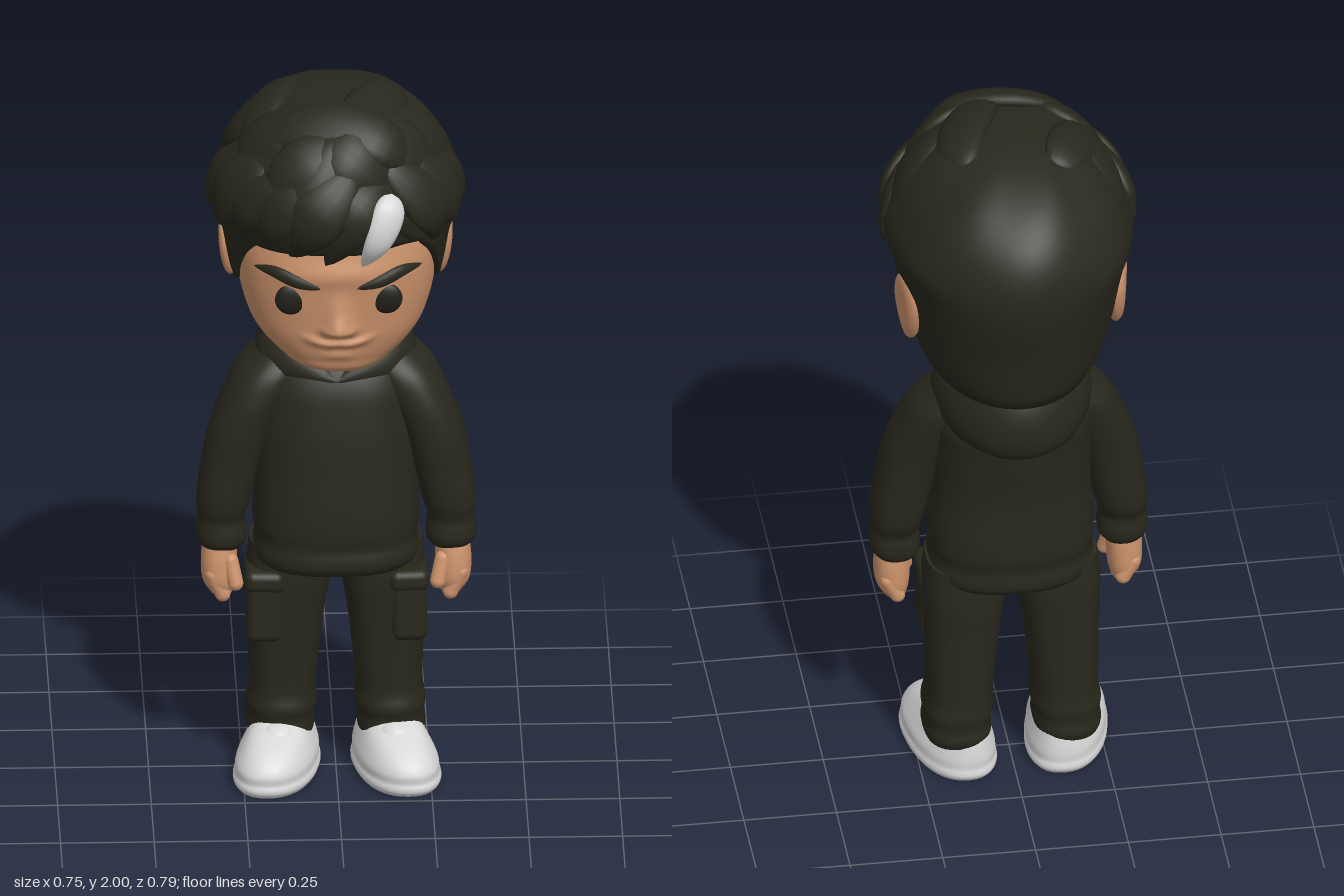
import * as THREE from 'three';
import { RoundedBoxGeometry } from 'three/addons/geometries/RoundedBoxGeometry.js';

const V = (x, y, z) => new THREE.Vector3(x, y, z);
const mat = (name, color) => Object.assign(new THREE.MeshStandardMaterial({ color }), { name });
const hump = (d, w) => Math.exp(-(d / w) * (d / w));

// smooth lookup: each row is [key, ...values]
function track(rows, Type = THREE.CubicInterpolant) {
  const stride = rows[0].length - 1;
  const f = new Type(new Float32Array(rows.map(r => r[0])), new Float32Array(rows.flatMap(r => r.slice(1))), stride);
  return k => Array.from(f.evaluate(THREE.MathUtils.clamp(k, rows[0][0], rows[rows.length - 1][0])));
}

// smooth skin over a grid of points, wrapped around i
function surface(nu, nv, point) {
  const pos = [], idx = [];
  for (let j = 0; j <= nv; j++) for (let i = 0; i < nu; i++) pos.push(...point(i / nu, j).toArray());
  for (let j = 0; j < nv; j++) for (let i = 0; i < nu; i++) {
    const a = j * nu + i, b = j * nu + (i + 1) % nu;
    idx.push(a, b, b + nu, a, b + nu, a + nu);
  }
  const g = new THREE.BufferGeometry();
  g.setAttribute('position', new THREE.Float32BufferAttribute(pos, 3));
  g.setIndex(idx);
  g.computeVertexNormals();
  return g;
}

const bend = (s, n) => Math.sign(s) * Math.pow(Math.abs(s), 2 / n);

// upright body from rows [y, centre x, half width, front z, back z]
function loft(rows, n = 2.3, seg = 44, per = 5) {
  const f = track(rows), m = rows.length * per, y0 = rows[0][0], y1 = rows[rows.length - 1][0];
  return surface(seg, m + 4, (u, j) => {
    const y = y0 + (y1 - y0) * THREE.MathUtils.clamp((j - 2) / m, 0, 1);
    const k = j === 0 || j === m + 4 ? 0 : 1, a = u * Math.PI * 2;
    const [cx, rx, zf, zb] = f(y);
    return V(cx + k * rx * bend(Math.sin(a), n), y, (zf + zb) / 2 + k * (zf - zb) / 2 * bend(Math.cos(a), n));
  });
}

// tapered, flattened strand along points, facing away from centre
function strand(points, R, flat, centre, p = 0.75) {
  const c = new THREE.CatmullRomCurve3(points), m = 18;
  return surface(14, m, (u, j) => {
    const t = j / m, o = c.getPoint(t), d = c.getTangent(t);
    const out = o.clone().sub(centre), b = out.clone().cross(d).normalize(), n = d.clone().cross(b);
    const r = R * Math.pow(Math.max(0, Math.sin(Math.PI * Math.pow(t, p))), 0.7), a = u * Math.PI * 2;
    return o.addScaledVector(b, r * Math.cos(a)).addScaledVector(n, r * flat * Math.sin(a));
  });
}

// move every vertex by a rule
function reshape(g, rule) {
  const p = g.attributes.position;
  for (let i = 0; i < p.count; i++) p.setXYZ(i, ...rule(p.getX(i), p.getY(i), p.getZ(i)));
  g.computeVertexNormals();
  return g;
}

function mirror(g) {
  const m = g.clone().scale(-1, 1, 1);
  const ix = m.index.array;
  for (let i = 0; i < ix.length; i += 3) [ix[i], ix[i + 1]] = [ix[i + 1], ix[i]];
  return m;
}

const ball = (x, y, z, rx, ry, rz) => new THREE.SphereGeometry(1, 28, 20).scale(rx, ry, rz).translate(x, y, z);

function rod(a, b, r) {
  const g = new THREE.CapsuleGeometry(r, a.distanceTo(b), 6, 14);
  g.applyQuaternion(new THREE.Quaternion().setFromUnitVectors(V(0, 1, 0), b.clone().sub(a).normalize()));
  return g.translate(...a.clone().add(b).multiplyScalar(0.5).toArray());
}

const headRows = [
  [1.23, 0, 0.07, 0.195, 0.0], [1.245, 0, 0.115, 0.222, -0.05], [1.28, 0, 0.165, 0.238, -0.1], [1.34, 0, 0.22, 0.255, -0.16],
  [1.41, 0, 0.25, 0.266, -0.2], [1.5, 0, 0.266, 0.276, -0.22], [1.6, 0, 0.268, 0.27, -0.22], [1.7, 0, 0.25, 0.24, -0.2]];
const headAt = track(headRows);
// nose, nostrils, brow ridge and lips
function faceBump(x, y) {
  const ax = Math.abs(x), mouth = Math.exp(-Math.pow(x / 0.085, 4));
  return 0.046 * hump(x, 0.03) * hump(y - 1.384, y > 1.384 ? 0.04 : 0.02) + 0.016 * hump(x, 0.026) * hump(y - 1.44, 0.045)
    + 0.015 * hump(ax - 0.03, 0.016) * hump(y - 1.378, 0.016) + 0.012 * hump(x, 0.15) * hump(y - 1.54, 0.035)
    + 0.015 * mouth * hump(y - 1.335 - 2.2 * x * x - 0.004 * hump(x, 0.012), 0.013) + 0.007 * hump(x, 0.045) * hump(y - 1.298, 0.016);
}
function faceZ(x, y) {
  const [, rx, zf, zb] = headAt(y);
  return (zf + zb) / 2 + (zf - zb) / 2 * Math.pow(1 - Math.pow(Math.abs(x) / rx, 2.5), 0.4) + faceBump(x, y);
}

// hair mass: [sqrt of drop from the crown, half width, front, back]
const hairAt = track([[0, 0, 0, 0], [0.173, 0.165, 0.225, 0.17], [0.316, 0.25, 0.315, 0.295], [0.424, 0.302, 0.362, 0.362],
  [0.53, 0.336, 0.372, 0.392], [0.616, 0.308, 0.335, 0.385], [0.714, 0.283, 0.285, 0.35], [0.806, 0.24, 0.25, 0.32], [0.84, 0.2, 0.22, 0.3]]);
const hemAt = track([[0, 1.63], [0.75, 1.63], [1.0, 1.57], [1.28, 1.46], [1.55, 1.48], [1.75, 1.42], [1.95, 1.33], [2.3, 1.3], [3.15, 1.3]],
  THREE.LinearInterpolant);
const TOP = 1.98, HEAD = V(0, 1.65, 0);
function hairPoint(a, y, lift = 0) {
  const [rx, rf, rb] = hairAt(Math.sqrt(Math.max(0, TOP - y)));
  const front = Math.cos(a) > 0, n = front ? 2.15 : 2;
  const p = V(rx * bend(Math.sin(a), n), y, (front ? rf : rb) * bend(Math.cos(a), n));
  // parting on the left of the fringe
  p.z -= 0.05 * hump(a - 0.5, 0.26) * THREE.MathUtils.smoothstep(1.92 - y, 0, 0.12) * THREE.MathUtils.smoothstep(y, 1.58, 1.66);
  return p.addScaledVector(p.clone().sub(HEAD).normalize(), lift);
}
const lock = (path, R, lift = 0, flat = 0.5) => strand(path.map(([a, y]) => hairPoint(a, y, lift)), R, flat, HEAD);

export function createModel() {
  const dark = mat('charcoal', 0x28281d), skin = mat('skin', 0xcb926b);
  const white = mat('white', 0xd8d8d8), eye = mat('eyeBlack', 0x201f18);
  const model = new THREE.Group();
  const add = (name, g, m) => {
    const mesh = new THREE.Mesh(g, m);
    mesh.name = name;
    model.add(mesh);
  };
  const pair = (name, g, m) => { add(name + 'Left', g, m); add(name + 'Right', mirror(g), m); };

  // head and face
  add('head', reshape(loft(headRows, 2.5, 150, 13), (x, y, z) => [x, y, z > 0.15 ? z + faceBump(x, y) : z]), skin);
  add('neck', new THREE.CylinderGeometry(0.085, 0.1, 0.16, 28).translate(0, 1.23, 0), skin);
  pair('eye', ball(0.128, 1.467, faceZ(0.128, 1.467) - 0.003, 0.042, 0.043, 0.016), eye);
  pair('eyebrow', strand([[0.048, 1.507], [0.11, 1.524], [0.17, 1.545], [0.225, 1.543]].map(([x, y]) => V(x, y, faceZ(x, y) + 0.002)),
    0.018, 0.6, V(0, 1.5, 0), 0.95), dark);

  // ears with a soft hollow in the outer face
  const ear = reshape(new THREE.SphereGeometry(1, 32, 24), (x, y, z) => {
    const hollow = x > 0 ? 0.6 * Math.exp(-3 * (y * y * 0.7 + (z - 0.15) * (z - 0.15))) : 0;
    return [(x - hollow) * 0.032, y * 0.105, z * 0.07 * (1 + 0.3 * y) - 0.012 * y];
  });
  pair('ear', ear.rotateY(0.25).rotateZ(-0.08).translate(0.284, 1.507, -0.085), skin);

  // hair mass with swirling ridges at the front
  const rows = 40;
  add('hair', surface(128, rows, (u, j) => {
    const a = u * Math.PI * 2, w = a > Math.PI ? a - Math.PI * 2 : a, hem = hemAt(Math.abs(w))[0];
    if (j === 0) return hairPoint(a, hem + 0.03).multiply(V(0.4, 1, 0.4));
    const q = Math.sqrt(TOP - hem) * (rows - j) / (rows - 1), y = TOP - q * q;
    const mask = (0.25 + 0.75 * (0.5 + 0.5 * Math.cos(a))) * THREE.MathUtils.smoothstep(q, 0.05, 0.3) * THREE.MathUtils.smoothstep(y, 1.55, 1.72);
    return hairPoint(a, y, mask * 0.01 * Math.sin(7 * w + 9 * q));
  }), dark);

  // fringe, side and crown locks
  for (let i = 0; i < 10; i++) {
    const a = -1.4 + i * 0.31, s = a < 0.2 ? -1 : 1, side = Math.abs(a) > 1 ? 0.06 : 0;
    const tip = 1.61 + 0.02 * Math.sin(i * 2.3) + side, h = 1.85 + 0.03 * Math.cos(i * 1.7);
    add('fringeLock', lock([[a - s * 0.3, h], [a - s * 0.02, 1.77], [a + s * 0.1, 1.7], [a + s * 0.26, tip]],
      0.066 + 0.012 * Math.sin(i * 1.9), -0.008, 0.42), dark);
  }
  for (let i = 0; i < 6; i++) {
    const a = -1.6 + i * 0.6, s = a < 0.1 ? -1 : 1, h = 0.02 * Math.sin(i * 2.1);
    add('upperLock', lock([[a - s * 0.6, 1.94], [a - s * 0.1, 1.905 + h], [a + s * 0.15, 1.84 + h], [a + s * 0.35, 1.77]], 0.082, -0.014, 0.36), dark);
  }
  add('crownCurl', lock([[0.75, 1.85], [0.55, 1.92], [-0.1, 1.955], [-0.75, 1.93], [-0.95, 1.86]], 0.08, -0.006, 0.42), dark);
  add('crownCurl', lock([[2.2, 1.95], [1.5, 1.962], [0.6, 1.962], [0.15, 1.92], [-0.25, 1.84]], 0.075, -0.008, 0.45), dark);
  add('crownCurl', lock([[-2.4, 1.95], [-1.8, 1.95], [-1.3, 1.91], [-1.05, 1.83]], 0.07, -0.008, 0.4), dark);
  add('whiteStreak', strand([V(0.14, 1.8, 0.318), V(0.13, 1.755, 0.35), V(0.1, 1.675, 0.366), V(0.06, 1.59, 0.325)], 0.046, 0.6, HEAD), white);

  // hooded top
  add('torso', loft([[0.61, 0, 0.2, 0.148, -0.178], [0.622, 0, 0.215, 0.16, -0.19], [0.66, 0, 0.222, 0.165, -0.195],
    [0.682, 0, 0.217, 0.16, -0.192], [0.72, 0, 0.222, 0.166, -0.202], [0.9, 0, 0.215, 0.158, -0.198], [1.05, 0, 0.212, 0.143, -0.215],
    [1.15, 0, 0.205, 0.12, -0.225], [1.205, 0, 0.165, 0.085, -0.2], [1.23, 0, 0.1, 0.05, -0.15]], 2.5), dark);
  add('hood', surface(72, 24, (u, j) => {
    const a = u * Math.PI * 2, t = -Math.PI + j / 24 * Math.PI * 2, c = Math.cos(a), k = (1 - c) / 2;
    const w = a > Math.PI ? a - Math.PI * 2 : a;
    const top = 1.232 + 0.108 * Math.pow(k, 0.65) - 0.05 * Math.exp(-Math.abs(w) * 3.5), low = 1.15 - 0.035 * k * k;
    const r = 0.038 + 0.02 * k, out = Math.cos(t) * r - Math.sin(t) * 0.014;
    return V((0.165 + out) * Math.sin(a), (top + low) / 2 + (top - low) / 2 * Math.sin(t), -0.02 + ((c > 0 ? 0.095 : 0.235) + out) * c);
  }), dark);
  pair('sleeve', loft([[0.655, 0.305, 0.052, 0.07, -0.05], [0.668, 0.306, 0.063, 0.085, -0.06], [0.715, 0.307, 0.067, 0.09, -0.065],
    [0.735, 0.307, 0.063, 0.087, -0.062], [0.775, 0.303, 0.07, 0.1, -0.08], [0.9, 0.281, 0.078, 0.106, -0.09], [1.0, 0.255, 0.083, 0.11, -0.1],
    [1.1, 0.212, 0.086, 0.105, -0.12], [1.17, 0.172, 0.088, 0.085, -0.135], [1.225, 0.13, 0.07, 0.04, -0.13]]), dark);

  // hands
  pair('palm', loft([[0.525, 0.306, 0.03, 0.068, -0.03], [0.555, 0.312, 0.043, 0.084, -0.045], [0.61, 0.313, 0.048, 0.084, -0.048],
    [0.69, 0.308, 0.044, 0.068, -0.04]]), skin);
  for (let i = 0; i < 4; i++) {
    const z = 0.064 - i * 0.031, d = i === 3 ? 0.014 : i === 0 ? 0.006 : 0;
    pair('finger', rod(V(0.33, 0.585, z), V(0.304, 0.523 + d, z), 0.021), skin);
  }
  pair('thumb', rod(V(0.283, 0.625, 0.062), V(0.27, 0.566, 0.078), 0.021), skin);

  // trousers with side pockets
  pair('trouserLeg', loft([[0.1, 0.148, 0.085, 0.075, -0.15], [0.12, 0.148, 0.092, 0.085, -0.159], [0.155, 0.147, 0.089, 0.079, -0.154],
    [0.19, 0.145, 0.095, 0.088, -0.159], [0.225, 0.143, 0.09, 0.08, -0.155], [0.3, 0.14, 0.093, 0.08, -0.155], [0.45, 0.133, 0.102, 0.087, -0.155],
    [0.58, 0.125, 0.114, 0.095, -0.156], [0.66, 0.12, 0.11, 0.09, -0.15]], 2.5), dark);
  const pocket = (w, h, d, y) => {
    const g = new RoundedBoxGeometry(w, h, d, 4, 0.024);
    if (!g.index) g.setIndex([...Array(g.attributes.position.count).keys()]);
    return g.rotateZ(0.03).translate(0.193, y, 0.03);
  };
  pair('pocket', pocket(0.096, 0.18, 0.138, 0.485), dark);
  pair('pocketFlap', pocket(0.108, 0.062, 0.15, 0.57), dark);

  // shoes, toes turned slightly outwards
  const shoe = loft([[0, 0.153, 0.104, 0.222, -0.152], [0.012, 0.153, 0.112, 0.232, -0.16], [0.026, 0.153, 0.112, 0.233, -0.16],
    [0.033, 0.153, 0.109, 0.23, -0.158], [0.06, 0.152, 0.107, 0.23, -0.158], [0.09, 0.15, 0.096, 0.21, -0.155],
    [0.12, 0.148, 0.083, 0.165, -0.15], [0.145, 0.147, 0.072, 0.1, -0.145], [0.165, 0.147, 0.06, 0.06, -0.135]], 2.3);
  pair('shoe', reshape(shoe, (x, y, z) => [x + 0.16 * z, y, z]), white);
  pair('shoeTongue', ball(0.158, 0.126, 0.075, 0.048, 0.03, 0.05), white);

  return model;
}
